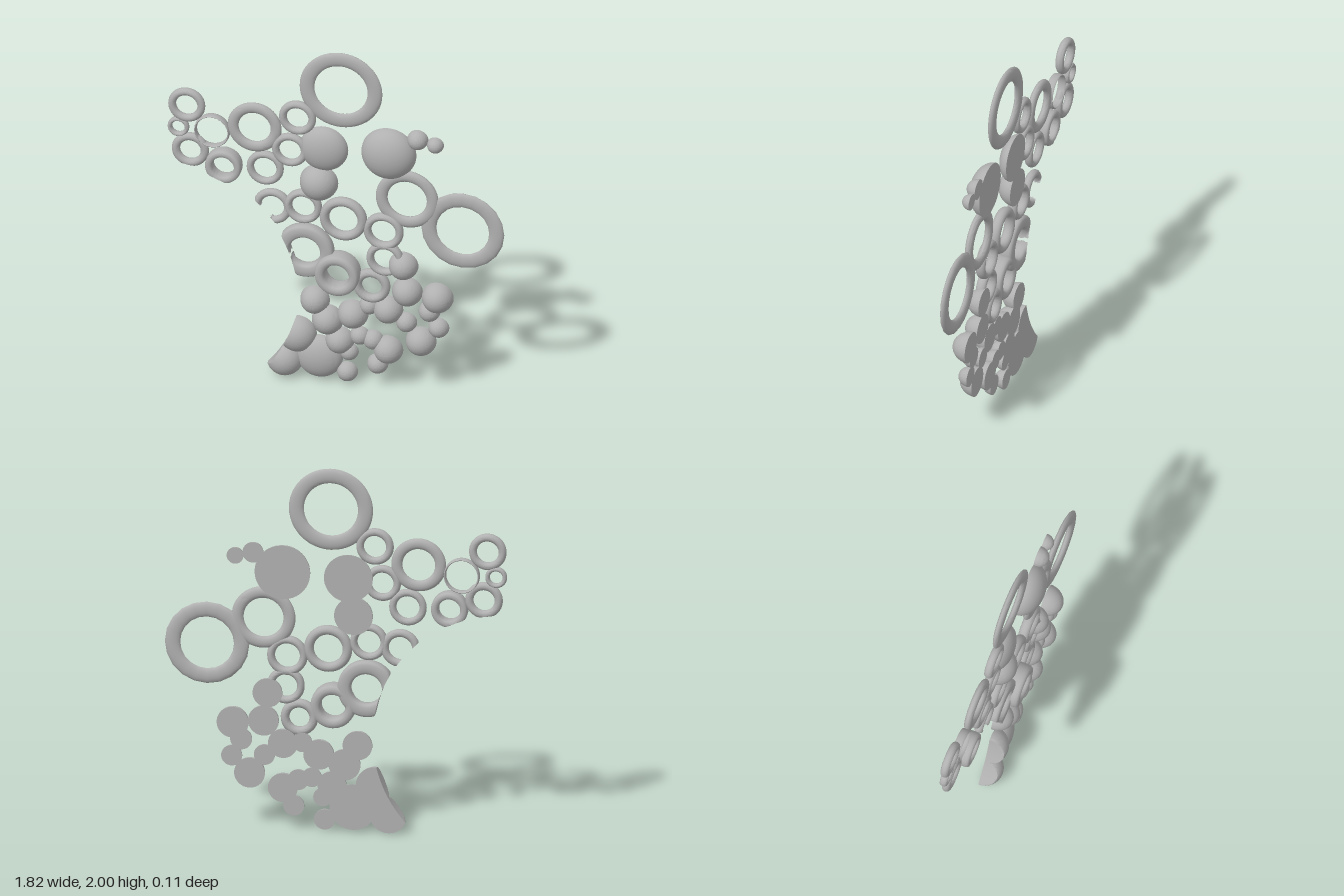
import * as THREE from 'three';
import { toCreasedNormals } from 'three/addons/utils/BufferGeometryUtils.js';

const BACK = -0.054;
// The left side is scooped out along a large circle
const CUT = { x: -0.9, y: 0.53, r: 0.7 };

// x, y, outer radius, inner radius, depth
const RINGS = [
  [0.024, 1.776, 0.224, 0.144, 0.035], [0.683, 1.01, 0.225, 0.143, 0.035],
  [0.383, 1.163, 0.17, 0.106, 0.04], [0.04, 1.003, 0.128, 0.077, 0.058],
  [-0.177, 1.05, 0.1, 0.061, 0.055], [0.257, 0.956, 0.108, 0.066, 0.055],
  [0.265, 0.79, 0.1, 0.06, 0.055], [0.193, 0.617, 0.1, 0.053, 0.055],
  [0.016, 0.683, 0.12, 0.065, 0.108], [-0.164, 0.79, 0.155, 0.082, 0.07],
  [-0.345, 1.025, 0.104, 0.062, 0.045], [-0.25, 1.38, 0.098, 0.058, 0.045],
  [-0.385, 1.253, 0.1, 0.061, 0.045], [-0.443, 1.49, 0.146, 0.087, 0.04],
  [-0.21, 1.58, 0.1, 0.059, 0.045], [-0.81, 1.578, 0.1, 0.058, 0.045],
  [-0.672, 1.44, 0.096, 0.084, 0.045], [-0.855, 1.44, 0.058, 0.034, 0.04],
  [-0.79, 1.31, 0.1, 0.056, 0.045], [-0.605, 1.248, 0.098, 0.058, 0.078],
];

// x, y, radius
const DOMES = [
  [-0.071, 1.402, 0.13], [-0.098, 1.195, 0.103], [0.28, 1.42, 0.148],
  [0.437, 1.523, 0.056], [0.532, 1.502, 0.045], [0.36, 0.75, 0.079],
  [0.381, 0.596, 0.082], [0.545, 0.58, 0.085], [0.5, 0.49, 0.058],
  [0.55, 0.397, 0.056], [0.455, 0.305, 0.082], [0.376, 0.408, 0.056],
  [0.278, 0.474, 0.079], [0.175, 0.485, 0.053], [0.087, 0.421, 0.082],
  [-0.119, 0.48, 0.079], [-0.05, 0.371, 0.085], [0.124, 0.294, 0.053],
  [0.196, 0.278, 0.056], [0.278, 0.23, 0.079], [0.22, 0.135, 0.056],
  [0.056, 0.066, 0.056], [0.016, 0.254, 0.077], [0.066, 0.188, 0.05],
  [-0.095, 0.14, 0.125], [-0.214, 0.262, 0.104], [-0.283, 0.104, 0.099],
];

// Pushes what lies inside the cutting circle onto its wall; leaves ring holes open
function scoop(geo, cx, cy, holeRadius) {
  const src = geo.toNonIndexed().getAttribute('position');
  const out = [];
  for (let i = 0; i < src.count; i += 3) {
    const tri = [];
    const mid = new THREE.Vector3();
    let inside = 0;
    for (let k = 0; k < 3; k++) {
      const p = new THREE.Vector3().fromBufferAttribute(src, i + k);
      const dx = p.x - CUT.x, dy = p.y - CUT.y, d = Math.hypot(dx, dy);
      if (d < CUT.r) {
        p.x = CUT.x + (dx * CUT.r) / d;
        p.y = CUT.y + (dy * CUT.r) / d;
        inside++;
      }
      mid.addScaledVector(p, 1 / 3);
      tri.push(p);
    }
    if (inside === 3 && Math.hypot(mid.x - cx, mid.y - cy) < holeRadius) continue;
    tri.forEach((p) => out.push(p.x, p.y, p.z));
  }
  const result = new THREE.BufferGeometry();
  result.setAttribute('position', new THREE.Float32BufferAttribute(out, 3));
  return result;
}

// Turns a profile about the z axis, sets it on the back plane and trims it
function turned(profile, x, y, radius, sides, holeRadius) {
  let geo = new THREE.LatheGeometry(profile, sides);
  geo.rotateX(Math.PI / 2).translate(x, y, BACK);
  geo.deleteAttribute('uv');
  geo.deleteAttribute('normal');
  if (Math.hypot(x - CUT.x, y - CUT.y) < CUT.r + radius) geo = scoop(geo, x, y, holeRadius);
  return toCreasedNormals(geo, 0.75);
}

function ringGeometry([x, y, outer, inner, depth]) {
  const mid = (outer + inner) / 2, half = (outer - inner) / 2;
  // Tall rings have a squarer section
  const power = depth > 0.065 ? 0.6 : 1;
  const soft = (v) => Math.sign(v) * Math.abs(v) ** power;
  const profile = [];
  for (let i = 0; i <= 16; i++) {
    const t = (i / 16) * Math.PI * 2;
    profile.push(new THREE.Vector2(
      mid + half * soft(Math.cos(t)),
      (depth / 2) * (1 + soft(Math.sin(t)))));
  }
  const sides = x > 0.6 ? 20 : 48;
  return turned(profile, x, y, outer, sides, inner);
}

function domeGeometry([x, y, r]) {
  // Wide domes are flatter, small ones nearly half balls
  const depth = r > 0.14 ? 0.103 : r > 0.12 ? 0.075 : Math.min(r * 1.15, 0.1);
  const profile = [new THREE.Vector2(0, 0)];
  for (let i = 0; i <= 12; i++) {
    const t = (i / 12) * Math.PI / 2;
    profile.push(new THREE.Vector2(i === 12 ? 0 : r * Math.cos(t), depth * Math.sin(t)));
  }
  return turned(profile, x, y, r, 48, 0);
}

export function createModel() {
  const model = new THREE.Group();
  model.name = 'ringAndDomeRelief';
  const grey = new THREE.MeshStandardMaterial({ color: 0xb0b0b0, side: THREE.DoubleSide });
  grey.name = 'plain grey';

  const addAll = (list, build, name) => {
    const group = new THREE.Group();
    group.name = name + 's';
    list.forEach((item, i) => {
      const mesh = new THREE.Mesh(build(item), grey);
      mesh.name = name + (i + 1);
      group.add(mesh);
    });
    model.add(group);
  };
  addAll(RINGS, ringGeometry, 'ring');
  addAll(DOMES, domeGeometry, 'dome');
  return model;
}
